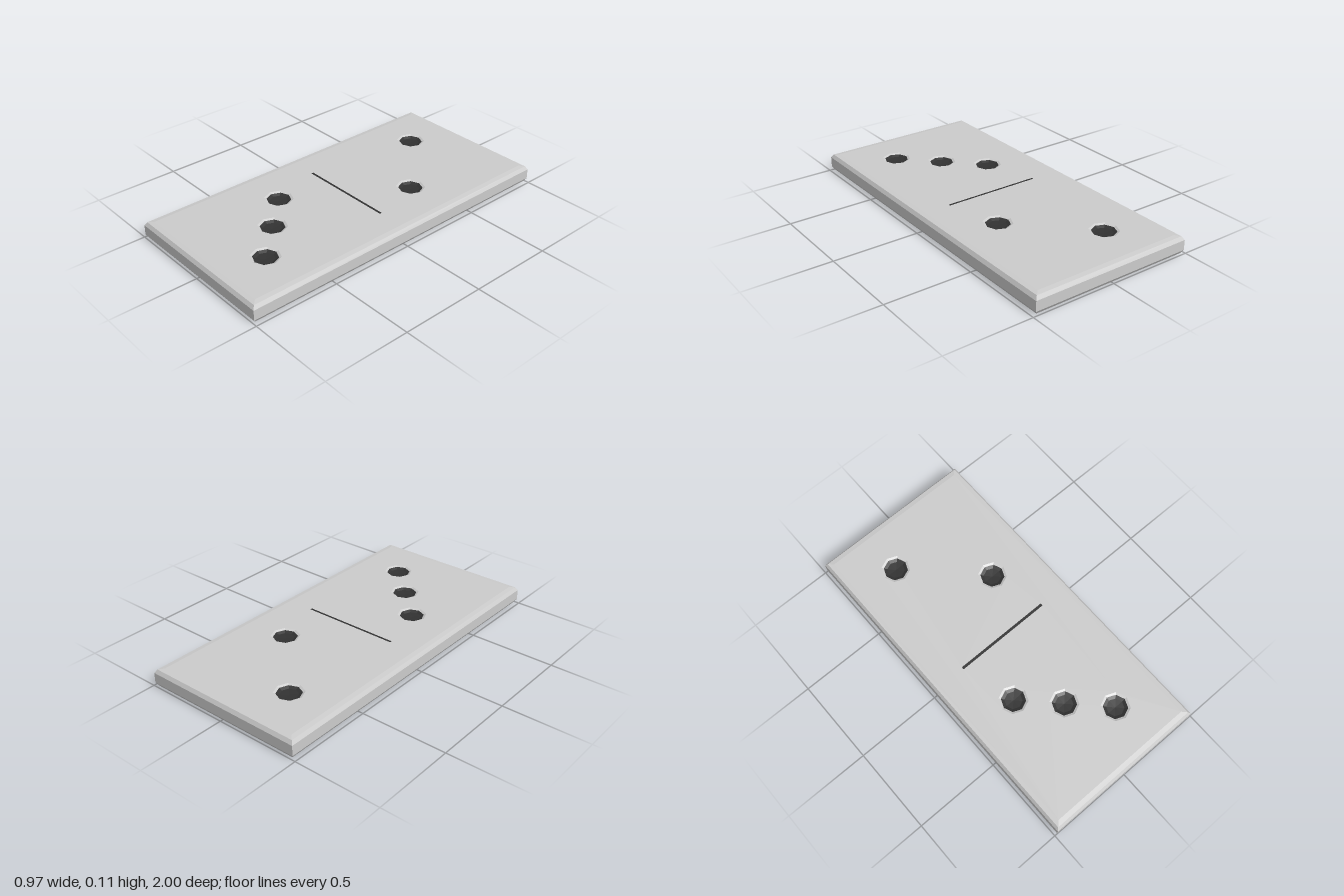
import * as THREE from 'three';

const W = 0.485, L = 1, H = 0.107;          // half width, half length, thickness
const SIDES = 8, RIM = 0.082, PIP = 0.069;  // pip sides, outer rim and inner radius
const SLOT = [0.29, 0.008];                 // half size of the dividing groove

const grey = new THREE.MeshStandardMaterial({ color: 0xcccccc, flatShading: true, side: THREE.DoubleSide });
const dark = new THREE.MeshStandardMaterial({ color: 0x323232, flatShading: true, side: THREE.DoubleSide });

// Bevel profile, bottom to top: [inset from the side, height]
const PROFILE = [
  [0.04, 0], [0.013, 0.004], [0, 0.024],
  [0, H - 0.024], [0.013, H - 0.004], [0.04, H],
];

function mesh(name, geometry, material) {
  const m = new THREE.Mesh(geometry, material);
  m.name = name;
  return m;
}

function rectangle(PathType, hx, hy) {
  return new PathType().moveTo(-hx, -hy).lineTo(hx, -hy).lineTo(hx, hy).lineTo(-hx, hy).closePath();
}

// Bevelled band around the tile, from rectangular rings
function edgeBand() {
  const corners = [[-1, 1], [1, 1], [1, -1], [-1, -1]];
  const rings = PROFILE.map(([d, y]) => corners.map(([sx, sz]) => [sx * (W - d), y, sz * (L - d)]));
  const pos = [];
  for (let i = 0; i < rings.length - 1; i++) {
    for (let j = 0; j < 4; j++) {
      const k = (j + 1) % 4;
      const a = rings[i][j], b = rings[i][k], c = rings[i + 1][k], d = rings[i + 1][j];
      pos.push(...a, ...b, ...c, ...a, ...c, ...d);
    }
  }
  const g = new THREE.BufferGeometry();
  g.setAttribute('position', new THREE.Float32BufferAttribute(pos, 3));
  g.computeVertexNormals();
  return g;
}

function lathe(points) {
  return new THREE.LatheGeometry(points.map(([r, y]) => new THREE.Vector2(r, y)), SIDES);
}

// One face of the tile at local y = 0, with sunken pips and a groove
function tileFace(name, pips) {
  const group = new THREE.Group();
  group.name = name;

  const shape = rectangle(THREE.Shape, W - 0.04, L - 0.04);
  shape.holes.push(rectangle(THREE.Path, ...SLOT));
  for (const [x, z] of pips) {
    const pts = [];
    for (let i = 0; i < SIDES; i++) {
      const a = (i / SIDES) * Math.PI * 2;
      pts.push(new THREE.Vector2(x + RIM * Math.cos(a), -z + RIM * Math.sin(a)));
    }
    shape.holes.push(new THREE.Path(pts));
  }
  group.add(mesh('faceSurface', new THREE.ShapeGeometry(shape).rotateX(-Math.PI / 2), grey));

  // Pips: sloped grey rim, then a shallow dark bowl
  const rim = lathe([[RIM, 0], [PIP, -0.006]]);
  const bowl = lathe([[PIP, -0.006], [0.05, -0.014], [0, -0.018]]);
  for (const [x, z] of pips) {
    const pip = new THREE.Group();
    pip.name = 'pip';
    pip.position.set(x, 0, z);
    pip.add(mesh('pipRim', rim, grey), mesh('pipBowl', bowl, dark));
    group.add(pip);
  }

  // Dividing groove, filled by a dark bar just under the surface
  const bar = mesh('dividingLine', new THREE.BoxGeometry(SLOT[0] * 2, 0.01, SLOT[1] * 2), dark);
  bar.position.y = -0.007;
  group.add(bar);
  return group;
}

export function createModel() {
  const model = new THREE.Group();
  model.name = 'dominoTile';
  model.add(mesh('bevelledEdge', edgeBand(), grey));

  // Two and three on the top
  const c = 0.196, near = 0.317, mid = 0.512, far = 0.708;
  const top = tileFace('topFace', [[-c, -far], [c, -near], [-c, near], [0, mid], [c, far]]);
  top.position.y = H;

  // Four and six underneath, mirrored left and right
  const under = [];
  for (const x of [-c, c]) for (const z of [-far, -near, near, mid, far]) under.push([x, z]);
  const bottom = tileFace('bottomFace', under);
  bottom.rotation.z = Math.PI;

  model.add(top, bottom);
  return model;
}
